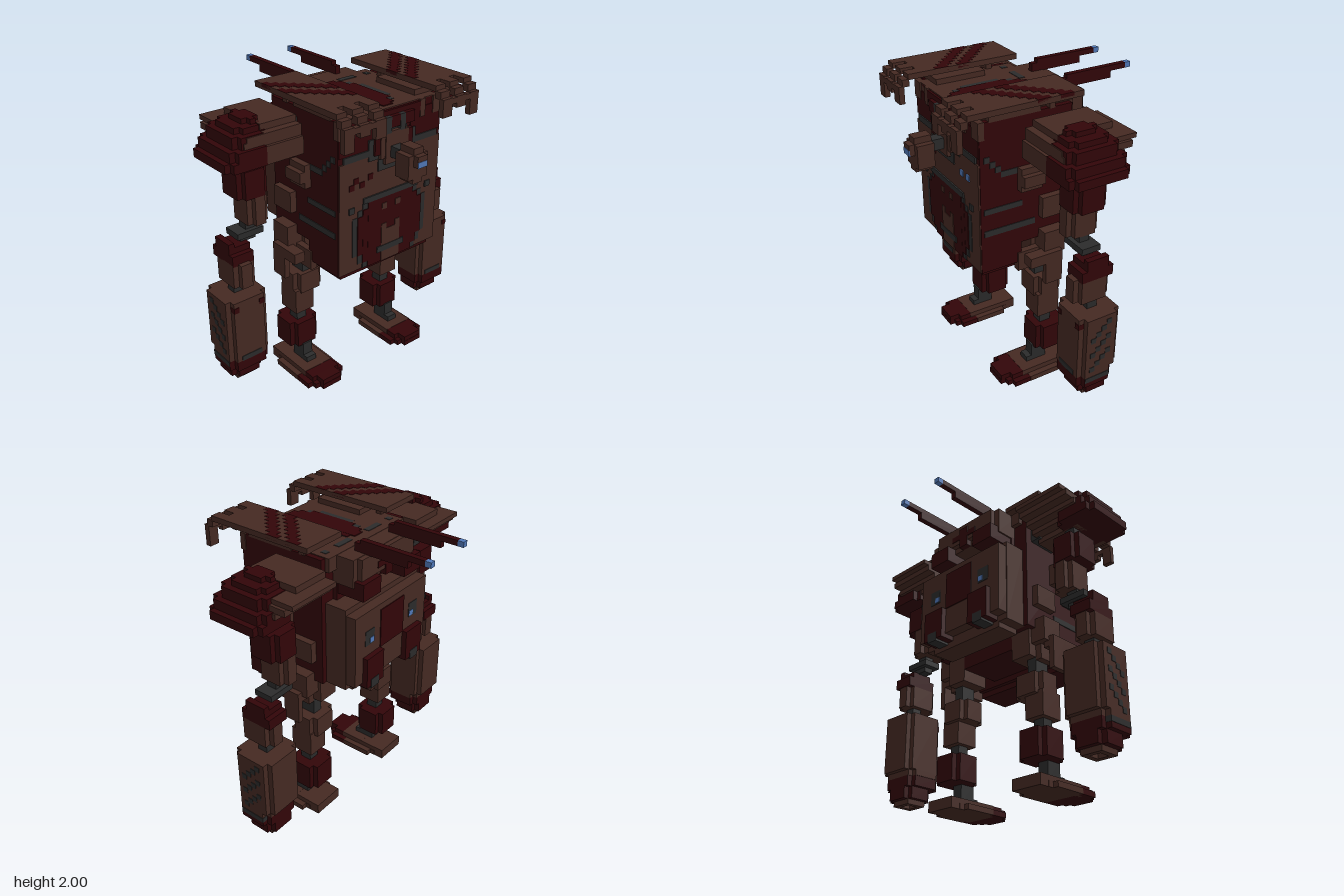
import * as THREE from 'three';

const mat = (color) => new THREE.MeshStandardMaterial({ color, flatShading: true });
const BROWN = mat(0x452922), RED = mat(0x320508), GREY = mat(0x2b2b2b), BLUE = mat(0x5078b8);
const V = 0.037; // one block

// Box from its limits
function box(g, name, m, x0, x1, y0, y1, z0, z1) {
  const mesh = new THREE.Mesh(new THREE.BoxGeometry(x1 - x0, y1 - y0, z1 - z0), m);
  mesh.position.set((x0 + x1) / 2, (y0 + y1) / 2, (z0 + z1) / 2);
  mesh.name = name;
  g.add(mesh);
}
// The same box on both sides
function pair(g, name, m, x0, x1, ...r) {
  box(g, name + 'Left', m, x0, x1, ...r);
  box(g, name + 'Right', m, -x1, -x0, ...r);
}
// Mirrored block with its upright corners notched by one block
function notched(g, name, m, x0, x1, y0, y1, z0, z1) {
  pair(g, name, m, x0 + V, x1 - V, y0, y1, z0, z1);
  pair(g, name + 'Side', m, x0, x1, y0, y1, z0 + V, z1 - V);
}
function section(root, name) {
  const g = new THREE.Group();
  g.name = name;
  root.add(g);
  return g;
}

function buildTorso(g) {
  box(g, 'core', RED, -0.405, 0.405, 1.04, 1.885, -0.15, 0.47);
  box(g, 'lowerCore', RED, -0.405, 0.405, 0.9, 1.04, 0.19, 0.47);
  box(g, 'belly', RED, -0.37, 0.37, 0.86, 0.9, 0.22, 0.45);
  box(g, 'pelvis', RED, -0.22, 0.22, 0.94, 1.04, -0.1, 0.19);
  box(g, 'roof', BROWN, -0.37, 0.37, 1.8, 1.89, -0.18, 0.47);
  // Front plates
  box(g, 'chestPlate', BROWN, -0.4, 0.4, 1.34, 1.63, 0.44, 0.48);
  box(g, 'bellyPlate', BROWN, -0.4, 0.4, 0.9, 1.34, 0.44, 0.477);
  pair(g, 'collarPlate', RED, 0.15, 0.4, 1.67, 1.84, 0.44, 0.476);
  box(g, 'browPlate', RED, -0.22, 0.22, 1.78, 1.87, 0.44, 0.48);
  pair(g, 'collarBand', GREY, 0.075, 0.37, 1.63, 1.67, 0.44, 0.484);
  pair(g, 'collarTooth', BROWN, 0.22, 0.26, 1.78, 1.89, 0.44, 0.485);
  pair(g, 'outerTooth', BROWN, 0.33, 0.41, 1.78, 1.89, 0.44, 0.48);
  // Turret socket, stepped like a ring
  box(g, 'socket', GREY, -0.11, 0.11, 1.52, 1.78, 0.44, 0.487);
  box(g, 'socketWide', GREY, -0.185, 0.185, 1.6, 1.73, 0.44, 0.486);
  box(g, 'socketFaceWide', RED, -0.15, 0.15, 1.63, 1.74, 0.44, 0.5);
  box(g, 'socketRing', BROWN, -0.11, 0.11, 1.6, 1.75, 0.44, 0.505);
  box(g, 'socketFace', BROWN, -0.075, 0.075, 1.56, 1.76, 0.44, 0.51);
  pair(g, 'socketPost', GREY, 0.035, 0.075, 1.75, 1.85, 0.44, 0.512);
  // Belly oval, stepped frame and panel
  [[0.3, 1.0, 1.26, 0.48], [0.26, 0.94, 1.3, 0.481], [0.22, 0.9, 1.345, 0.482]].forEach(([x, a, b, z]) => {
    box(g, 'bellyFrame', GREY, -x, x, a, b, 0.44, z);
    box(g, 'bellyPanel', RED, -x + V, x - V, a, b, 0.44, z + 0.006);
  });
  box(g, 'bellyBand', GREY, -0.22, 0.22, 1.34, 1.375, 0.44, 0.49);
  box(g, 'bellyHatch', BROWN, -0.075, 0.075, 0.9, 0.99, 0.44, 0.492);
  box(g, 'bellyStrip', BROWN, -0.075, 0.075, 0.99, 1.12, 0.44, 0.492);
  box(g, 'bellySill', GREY, -0.11, 0.11, 0.97, 1.01, 0.44, 0.495);
  pair(g, 'bellyNotch', BROWN, 0.035, 0.075, 1.26, 1.3, 0.44, 0.492);
  pair(g, 'bellyNotchLow', BROWN, 0.035, 0.075, 1.12, 1.16, 0.44, 0.492);
  pair(g, 'bellyJoint', GREY, 0.29, 0.33, 1.3, 1.34, 0.44, 0.487);
  // Lamps on one side, worn patches on the other
  box(g, 'lamp', BLUE, 0.185, 0.222, 1.485, 1.522, 0.44, 0.488);
  box(g, 'lampOuter', BLUE, 0.26, 0.297, 1.485, 1.522, 0.44, 0.488);
  [[-0.33, 1.45], [-0.295, 1.485], [-0.25, 1.45], [-0.185, 1.485]].forEach(([x, y]) =>
    box(g, 'patch', RED, x, x + V, y, y + V, 0.44, 0.485));
  // Side bands, stepped trim and panels
  pair(g, 'sideBand', GREY, 0.38, 0.41, 1.3, 1.335, 0.19, 0.45);
  pair(g, 'sideBandLow', GREY, 0.38, 0.41, 1.15, 1.19, 0.1, 0.45);
  for (let i = 0; i < 6; i++) {
    const z = 0.445 - i * V, y = 1.635 - Math.min(i, 3) * V;
    pair(g, 'sideTrim', GREY, 0.38, 0.41, y, y + V, z - V, z);
  }
  pair(g, 'sidePanel', BROWN, 0.39, 0.45, 1.41, 1.56, 0.075, 0.22);
  pair(g, 'sidePanelCap', BROWN, 0.44, 0.485, 1.45, 1.52, 0.075, 0.22);
  pair(g, 'waistPanel', BROWN, 0.39, 0.45, 1.19, 1.33, -0.1, 0.07);
  pair(g, 'hipPanel', BROWN, 0.37, 0.48, 0.94, 1.1, -0.08, 0.07);
  pair(g, 'hipSkirt', BROWN, 0.48, 0.517, 0.75, 0.97, -0.04, 0.08);
  pair(g, 'hipSkirtTop', BROWN, 0.44, 0.517, 0.9, 0.97, -0.04, 0.19);
  // Roof hatch, stepped oval
  [[0.15, 0.04, 0.3], [0.11, -0.04, 0.37], [0.075, -0.07, 0.4]].forEach(([x, a, b], i) => {
    box(g, 'hatchFrame', GREY, -x, x, 1.85, 1.891 + i * 0.001, a, b);
    box(g, 'hatch', RED, -x + V, x - V, 1.85, 1.894 + i * 0.001, a - V, b + V);
  });
  box(g, 'roofLip', RED, -0.22, 0.22, 1.82, 1.88, 0.42, 0.485);
  box(g, 'roofNose', RED, -0.15, 0.15, 1.78, 1.85, 0.42, 0.51);
  pair(g, 'vent', GREY, 0.08, 0.21, 1.85, 1.893, -0.125, -0.085);
  pair(g, 'ventOuter', GREY, 0.295, 0.33, 1.85, 1.893, -0.125, -0.085);
}

function buildTurret(g) {
  box(g, 'barrel', GREY, -V, V, 1.6, 1.67, 0.45, 0.6);
  box(g, 'turretHead', BROWN, -V, V, 1.49, 1.71, 0.59, 0.7);
  box(g, 'turretCheeks', BROWN, -0.075, 0.075, 1.52, 1.67, 0.59, 0.7);
  box(g, 'visorHousing', BROWN, -V, V, 1.6, 1.67, 0.7, 0.735);
  box(g, 'visor', BLUE, -V, V, 1.6, 1.637, 0.73, 0.738);
}

// Striped roof plates with drooping fingers
function buildRoofPlates(g) {
  pair(g, 'plate', BROWN, 0.22, 0.52, 1.965, 2.0, -0.15, 0.52);
  pair(g, 'plateBase', BROWN, 0.24, 0.41, 1.88, 1.925, 0.07, 0.41);
  pair(g, 'platePost', BROWN, 0.335, 0.41, 1.88, 1.97, -0.03, 0.01);
  pair(g, 'platePostFront', BROWN, 0.335, 0.41, 1.92, 1.97, 0.375, 0.41);
  for (let i = 0; i < 8; i++) {
    const x = 0.52 - (i + 1) * 0.0375, z = -0.08 + i * V;
    pair(g, 'stripe', RED, x, x + 0.0375, 1.98, 2.002, z, z + 0.09);
    pair(g, 'stripeFront', RED, x, x + 0.0375, 1.98, 2.002, z + 0.15, z + 0.24);
  }
  [[0.22, 0.297, 1.82], [0.335, 0.41, 1.86], [0.45, 0.52, 1.79]].forEach(([a, b, low]) => {
    pair(g, 'finger', BROWN, a, b, 1.965, 2.0, 0.52, 0.6);
    pair(g, 'fingerBend', BROWN, a, b, 1.925, 1.97, 0.595, 0.64);
    pair(g, 'fingerTip', BROWN, a, b, low, 1.93, 0.63, 0.665);
  });
  pair(g, 'fingerBar', BROWN, 0.22, 0.52, 1.89, 1.925, 0.63, 0.665);
}

function buildBackpack(g) {
  // Upper pack in steps
  box(g, 'upperPack', BROWN, -0.3, 0.3, 1.71, 1.888, -0.3, -0.14);
  box(g, 'upperPackRear', BROWN, -0.26, 0.26, 1.75, 1.885, -0.333, -0.14);
  box(g, 'upperPackNeck', RED, -0.3, 0.3, 1.59, 1.72, -0.18, -0.12);
  pair(g, 'exhaust', RED, 0.12, 0.29, 1.64, 1.75, -0.368, -0.15);
  box(g, 'rearMark', RED, -0.11, 0.11, 1.78, 1.82, -0.338, -0.3);
  box(g, 'rearMarkTall', RED, -V, V, 1.71, 1.855, -0.34, -0.3);
  // Lower pack
  box(g, 'lowerPack', BROWN, -0.37, 0.37, 1.04, 1.597, -0.3, -0.14);
  box(g, 'lowerPackRear', BROWN, -0.365, 0.365, 1.08, 1.56, -0.37, -0.14);
  box(g, 'lowerPackFoot', BROWN, -0.3, 0.3, 1.005, 1.06, -0.3, -0.14);
  box(g, 'rearDoor', RED, -0.12, 0.12, 1.26, 1.52, -0.376, -0.3);
  pair(g, 'thruster', RED, 0.12, 0.29, 1.05, 1.26, -0.405, -0.3);
  pair(g, 'thrusterPort', GREY, 0.17, 0.25, 1.035, 1.1, -0.408, -0.3);
  pair(g, 'rearWindowFrame', GREY, 0.18, 0.27, 1.33, 1.43, -0.373, -0.3);
  pair(g, 'rearWindow', BLUE, 0.185, 0.225, 1.34, 1.375, -0.376, -0.3);
  // Antennas
  pair(g, 'antenna', RED, 0.15, 0.187, 1.93, 1.965, -0.7, -0.26);
  pair(g, 'antennaBase', RED, 0.15, 0.187, 1.885, 1.94, -0.59, -0.22);
  pair(g, 'antennaTip', BLUE, 0.15, 0.187, 1.93, 1.965, -0.74, -0.7);
}

function buildArms(g) {
  pair(g, 'shoulderAxle', GREY, 0.38, 0.48, 1.67, 1.82, -0.1, 0.1);
  // Shoulder pad with a stair-stepped underside: [outer x, low, high, back z, front z]
  [[0.7, 1.82, 1.86, -0.22, 0.15], [0.82, 1.79, 1.82, -0.3, 0.2], [0.84, 1.75, 1.79, -0.26, 0.2],
    [0.85, 1.715, 1.75, -0.2, 0.22], [0.8, 1.68, 1.715, -0.14, 0.22], [0.78, 1.64, 1.68, -0.08, 0.22]]
    .forEach(([x, a, b, zb, zf]) => pair(g, 'shoulderPad', BROWN, 0.45, x, a, b, zb, zf));
  [[0.78, 1.85, 1.89, -0.08, 0.12], [0.85, 1.82, 1.86, -0.11, 0.15], [0.89, 1.75, 1.825, -0.15, 0.19],
    [0.93, 1.69, 1.755, -0.18, 0.22], [0.965, 1.64, 1.695, -0.18, 0.22]].forEach(([x, a, b, zb, zf]) =>
    notched(g, 'shoulderGuard', RED, 0.67, x, a, b, zb, zf + 0.003));
  pair(g, 'shoulderPin', GREY, 0.67, 0.74, 1.54, 1.66, -0.07, 0.0);
  // Upper arm and elbow
  notched(g, 'upperArm', RED, 0.6, 0.81, 1.38, 1.56, -0.15, 0.08);
  notched(g, 'upperArmLow', BROWN, 0.6, 0.745, 1.19, 1.39, -0.145, 0.075);
  pair(g, 'elbow', GREY, 0.63, 0.815, 1.11, 1.15, -0.1, 0.03);
  pair(g, 'elbowTop', GREY, 0.665, 0.74, 1.15, 1.2, -0.07, 0.0);
  pair(g, 'elbowLow', GREY, 0.67, 0.78, 1.075, 1.11, -0.07, 0.0);
  pair(g, 'forearmTop', RED, 0.74, 0.89, 0.97, 1.04, -0.145, 0.075);
  pair(g, 'forearmCap', RED, 0.74, 0.89, 1.04, 1.08, -0.11, 0.04);
  pair(g, 'forearmFin', RED, 0.85, 0.89, 1.04, 1.11, -0.11, 0.04);
  notched(g, 'forearm', BROWN, 0.74, 0.89, 0.82, 0.98, -0.14, 0.11);
  pair(g, 'wrist', GREY, 0.78, 0.85, 0.72, 0.84, -0.07, 0.0);
  // Gun pod
  notched(g, 'gunPod', BROWN, 0.67, 0.963, 0.34, 0.74, -0.18, 0.11);
  notched(g, 'gunPodLow', BROWN, 0.67, 0.963, 0.3, 0.34, -0.145, 0.11);
  notched(g, 'gunMuzzle', RED, 0.675, 0.963, 0.23, 0.3, -0.145, 0.11);
  notched(g, 'gunMuzzleLow', RED, 0.705, 0.93, 0.15, 0.23, -0.145, 0.07);
  // Open square rim at the muzzle
  [[0.74, 0.777], [0.853, 0.89]].forEach(([a, b]) => pair(g, 'gunRimSide', BROWN, a, b, 0.115, 0.15, -0.11, 0.035));
  [-0.11, 0].forEach((z) => pair(g, 'gunRim', BROWN, 0.777, 0.853, 0.115, 0.15, z, z + 0.035));
  pair(g, 'gunBand', GREY, 0.74, 0.89, 0.3, 0.335, 0.05, 0.114);
  pair(g, 'gunSideBand', GREY, 0.9, 0.966, 0.265, 0.3, -0.11, 0.07);
  [0.705, 0.89].forEach((x) => pair(g, 'rivet', RED, x, x + V, 0.67, 0.707, 0.05, 0.114));
  // Diagonal vent holes on the outer face
  for (let row = 0; row < 3; row++) for (let i = 0; i < 4; i++) {
    const z = 0.005 - i * V, y = 0.34 + row * 0.111 + i * V;
    pair(g, 'ventHole', GREY, 0.94, 0.966, y, y + V, z, z + V);
  }
}

function buildLegs(g) {
  pair(g, 'hip', GREY, 0.3, 0.37, 0.72, 0.9, -0.04, 0.07);
  pair(g, 'hipBlock', BROWN, 0.22, 0.37, 0.86, 1.04, -0.1, 0.1);
  pair(g, 'hipGuard', BROWN, 0.37, 0.415, 0.84, 0.97, -0.04, 0.22);
  notched(g, 'thigh', BROWN, 0.22, 0.445, 0.6, 0.74, -0.1, 0.1);
  pair(g, 'thighLow', BROWN, 0.3, 0.445, 0.45, 0.62, -0.07, 0.09);
  pair(g, 'knee', GREY, 0.335, 0.41, 0.35, 0.48, -0.03, 0.05);
  notched(g, 'shin', RED, 0.26, 0.48, 0.19, 0.37, -0.12, 0.1);
  pair(g, 'ankle', GREY, 0.335, 0.41, 0.07, 0.2, 0.0, 0.11);
  pair(g, 'ankleToe', GREY, 0.335, 0.41, 0.07, 0.11, 0.0, 0.15);
  // Foot with a narrower heel and a red toe
  pair(g, 'heel', BROWN, 0.26, 0.48, 0, 0.072, -0.15, 0.05);
  notched(g, 'footSole', BROWN, 0.22, 0.52, 0, 0.037, -0.08, 0.22);
  pair(g, 'footTop', BROWN, 0.26, 0.48, 0.03, 0.073, 0.04, 0.22);
  pair(g, 'toe', RED, 0.222, 0.518, 0, 0.036, 0.18, 0.3);
  pair(g, 'toeMid', RED, 0.26, 0.48, 0, 0.036, 0.29, 0.335);
  pair(g, 'toeTip', RED, 0.297, 0.445, 0, 0.036, 0.33, 0.37);
  pair(g, 'toeTop', RED, 0.262, 0.478, 0.03, 0.071, 0.18, 0.3);
  pair(g, 'toeTopTip', RED, 0.297, 0.445, 0.03, 0.071, 0.29, 0.368);
}

export function createModel() {
  const root = new THREE.Group();
  root.name = 'walker';
  buildTorso(section(root, 'torso'));
  buildTurret(section(root, 'turret'));
  buildRoofPlates(section(root, 'roofPlates'));
  buildBackpack(section(root, 'backpack'));
  buildArms(section(root, 'arms'));
  buildLegs(section(root, 'legs'));
  return root;
}
